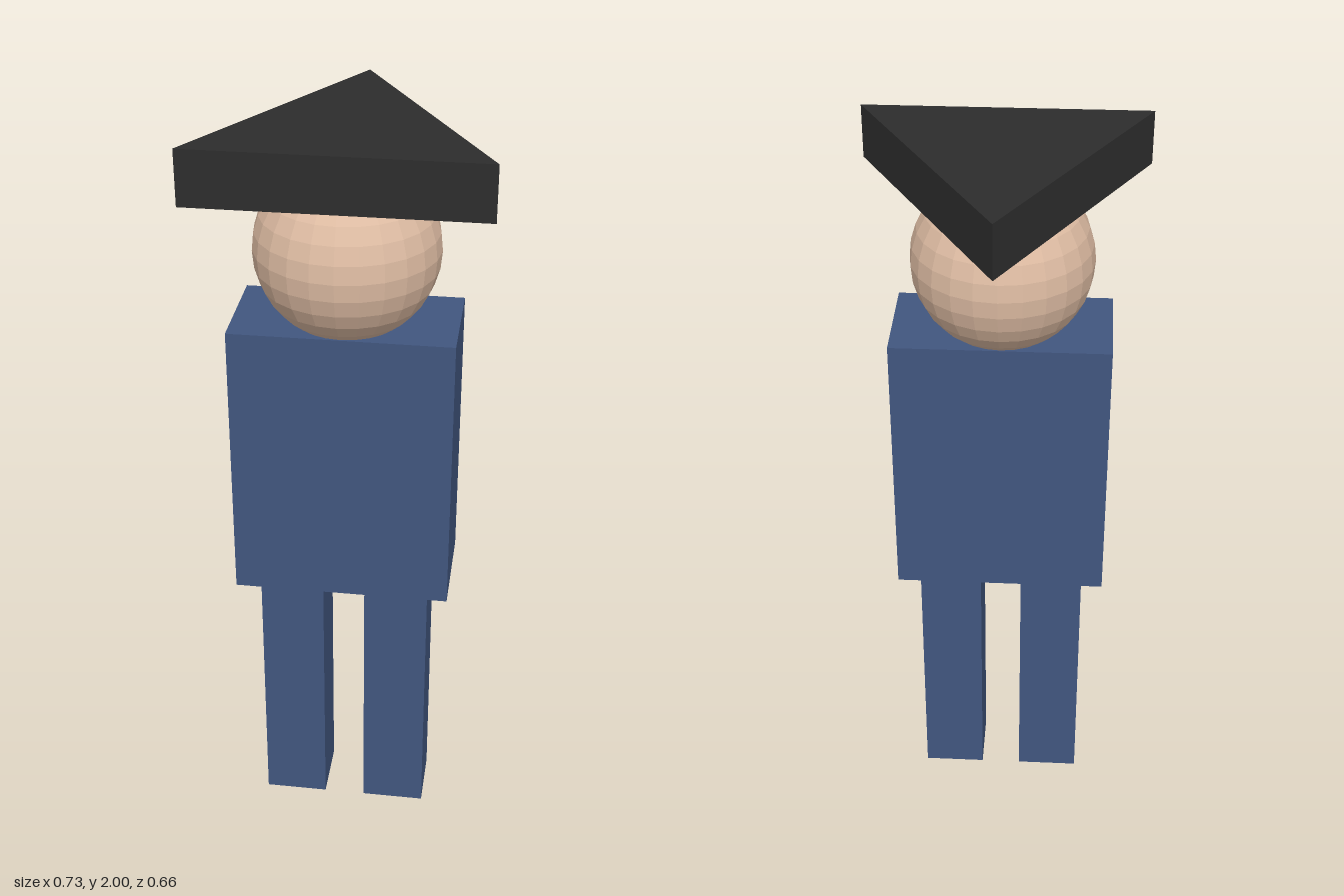
import * as THREE from 'three';

const DEPTH = 0.095; // z of the body's centre line

export function createModel() {
  const model = new THREE.Group();
  const material = (color) => new THREE.MeshStandardMaterial({ color, flatShading: true });
  const cloth = material(0x41567f);
  const skin = material(0xdebca3);
  const felt = material(0x2d2d2d);

  const add = (name, geometry, mat, x, y) => {
    const mesh = new THREE.Mesh(geometry, mat);
    mesh.name = name;
    mesh.position.set(x, y, DEPTH);
    model.add(mesh);
  };

  // Legs
  for (const [name, side] of [['leftLeg', 1], ['rightLeg', -1]]) {
    add(name, new THREE.BoxGeometry(0.17, 0.758, 0.17), cloth, side * 0.141, 0.379);
  }

  // Torso
  add('torso', new THREE.BoxGeometry(0.565, 0.75, 0.283), cloth, 0, 1.133);

  // Head
  add('head', new THREE.SphereGeometry(0.233, 24, 16), skin, 0, 1.695);

  // Three-cornered hat: a triangular prism with one corner pointing back
  add('hat', new THREE.CylinderGeometry(0.424, 0.424, 0.14, 3, 1, false, Math.PI), felt, 0, 1.93);

  return model;
}
